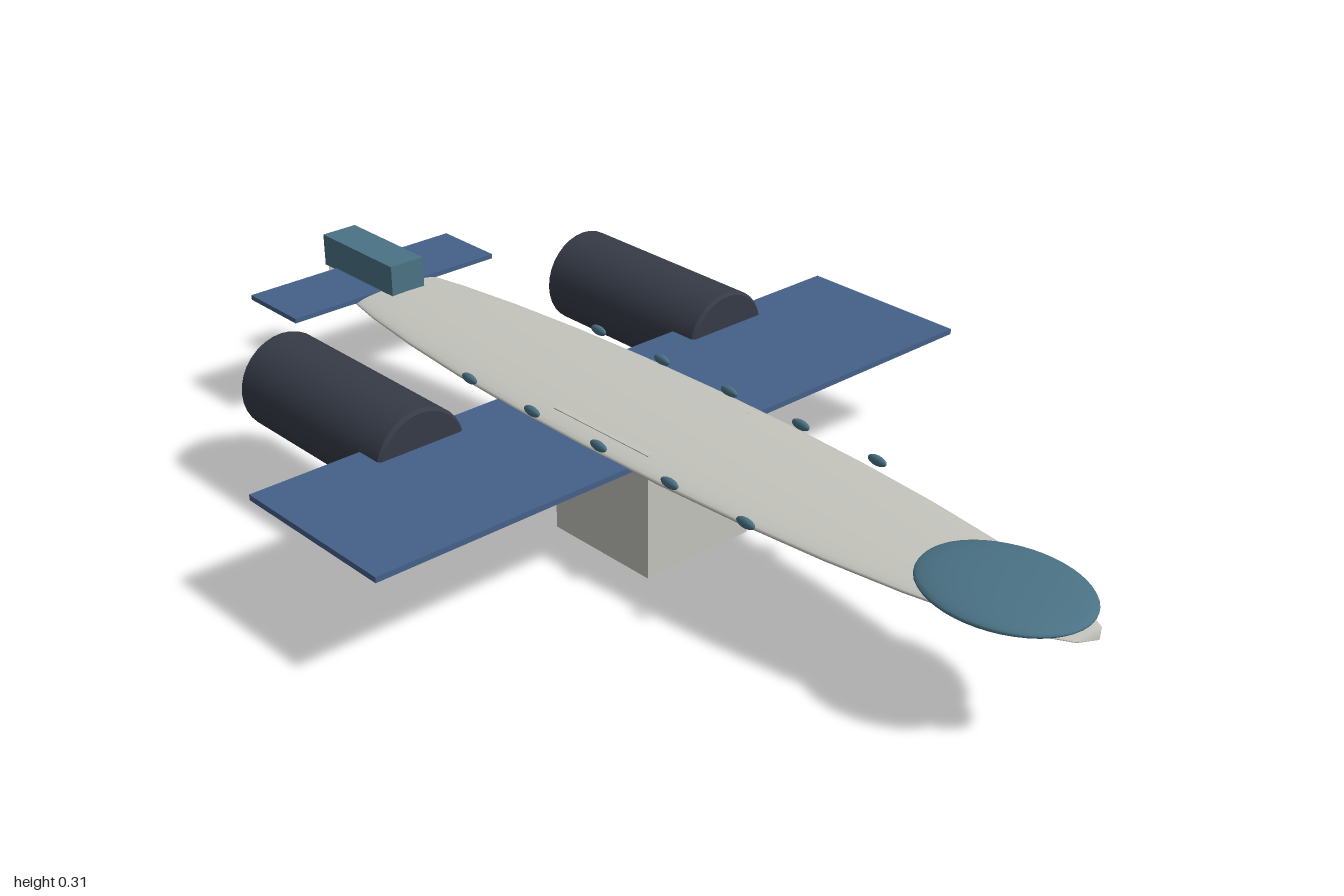
import * as THREE from 'three';

export function createModel() {
  const group = new THREE.Group();
  const mat = (name, color) => {
    const m = new THREE.MeshStandardMaterial({ color });
    m.name = name;
    return m;
  };
  const hullGrey = mat('hull grey', 0xc4c4bd);
  const wingBlue = mat('wing blue', 0x446188);
  const glassTeal = mat('glass teal', 0x4a7285);
  const engineDark = mat('engine dark', 0x363b47);

  const add = (name, geometry, material, x, y, z) => {
    const mesh = new THREE.Mesh(geometry, material);
    mesh.name = name;
    mesh.position.set(x, y, z);
    group.add(mesh);
    return mesh;
  };
  const box = (name, w, h, d, material, x, y, z) =>
    add(name, new THREE.BoxGeometry(w, h, d), material, x, y, z);
  // Ellipsoid with its poles along z
  const ellipsoid = (name, rx, ry, rz, material, x, y, z, rings = 16) => {
    const g = new THREE.SphereGeometry(1, 32, rings).rotateX(Math.PI / 2).scale(rx, ry, rz);
    return add(name, g, material, x, y, z);
  };

  // Flattened body, nose canopy and belly block
  ellipsoid('fuselage', 0.165, 0.021, 1, hullGrey, 0, 0.235, 0);
  ellipsoid('canopy', 0.125, 0.02, 0.157, glassTeal, 0, 0.245, 0.818, 24);
  box('bellyBlock', 0.25, 0.25, 0.254, hullGrey, 0, 0.125, 0);

  // Wing, tailplane and fin
  box('wing', 1.4, 0.011, 0.365, wingBlue, 0, 0.23, -0.066);
  box('tailplane', 0.5, 0.01, 0.16, wingBlue, 0, 0.243, -0.86);
  box('fin', 0.08, 0.068, 0.24, glassTeal, 0, 0.278, -0.86);

  // Engine drum profile with softened rims, turned around z
  const profile = [[0, -0.222], [0.091, -0.222], [0.097, -0.216],
    [0.097, 0.216], [0.091, 0.222], [0, 0.222]];
  // Separate lathes for each profile segment keep the rims crisp
  const drumParts = profile.slice(1).map((p, i) =>
    new THREE.LatheGeometry([profile[i], p].map(([r, h]) => new THREE.Vector2(r, h)), 32)
      .rotateX(Math.PI / 2));

  for (const side of [-1, 1]) {
    // Engines with a small rear slot
    const engine = new THREE.Group();
    engine.name = side > 0 ? 'leftEngine' : 'rightEngine';
    engine.position.set(side * 0.378, 0.211, -0.412);
    for (const g of drumParts) {
      const part = new THREE.Mesh(g, engineDark);
      part.name = 'engineDrum';
      engine.add(part);
    }
    const slot = new THREE.Mesh(new THREE.BoxGeometry(0.018, 0.07, 0.016), engineDark);
    slot.name = 'exhaustSlot';
    slot.position.set(0, -0.041, -0.222);
    engine.add(slot);
    group.add(engine);

    // Row of portholes along the body edge
    for (let i = 0; i < 5; i++) {
      ellipsoid('porthole', 0.007, 0.01, 0.021, glassTeal, side * 0.161, 0.248, 0.405 - i * 0.184, 12);
    }
  }
  return group;
}
